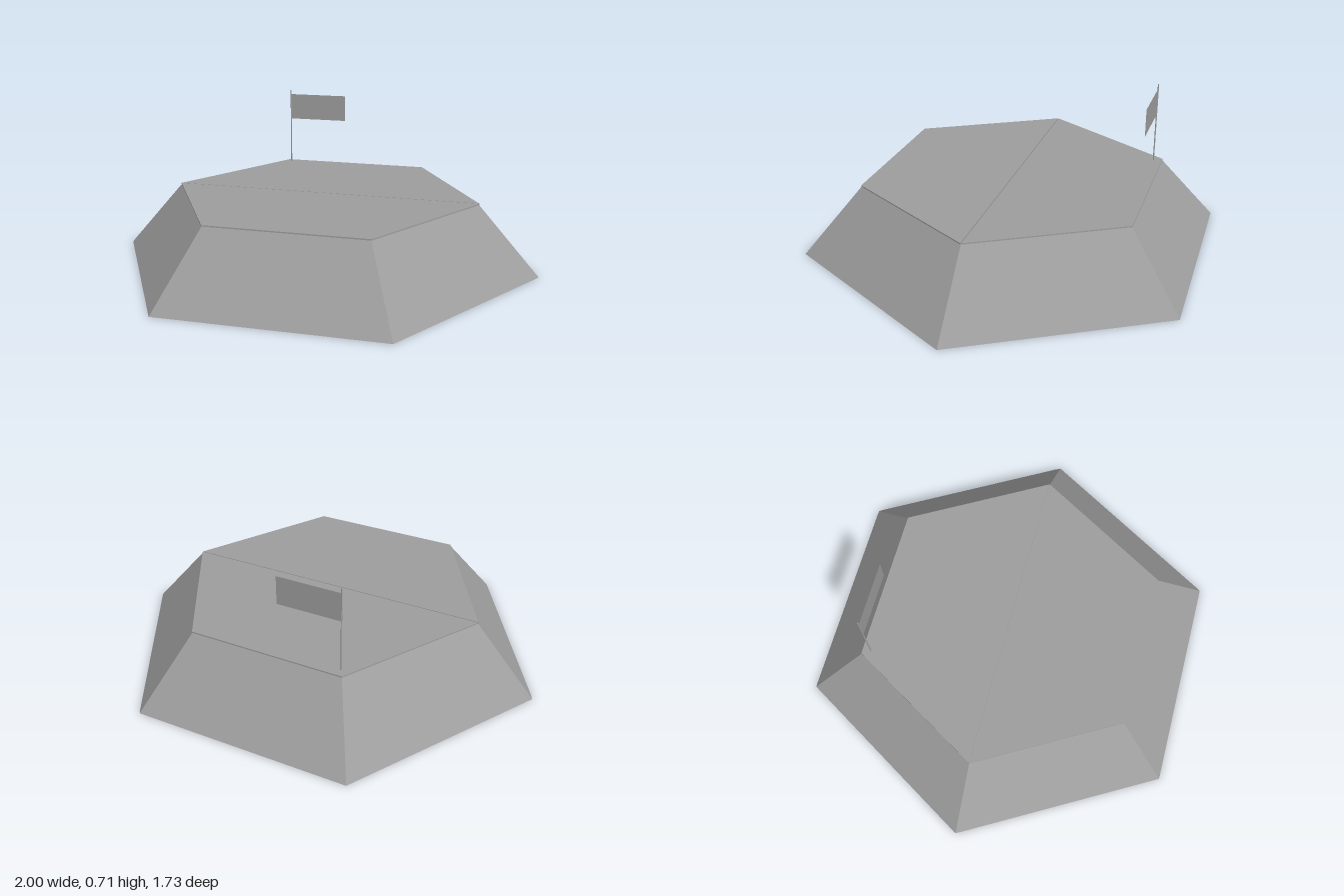
import * as THREE from 'three';

const HEIGHT = 0.325;
const DECK = 0.006; // deck thickness
const APOTHEM = Math.sqrt(3) / 2;
const SLOPE = 0.76; // inward run of the wall per unit of height
const SEAM = 0.002; // half the width of the seams between plates
const wallZ = (y) => APOTHEM - SLOPE * y;

// Counter-clockwise outline moved inwards by half a seam
function insetShape(points) {
  const v = points.map(([x, y]) => new THREE.Vector2(x, y));
  const normals = v.map((p, i) => {
    const d = v[(i + 1) % v.length].clone().sub(p).normalize();
    return new THREE.Vector2(-d.y, d.x);
  });
  return new THREE.Shape(v.map((p, i) => {
    const a = normals[(i + v.length - 1) % v.length], b = normals[i];
    return p.clone().add(a.clone().add(b).multiplyScalar(SEAM / (1 + a.dot(b))));
  }));
}

// Thin plate laid on the front (+z) wall, drawn as an outline in x and y
function plateGeometry(points) {
  const geometry = new THREE.ShapeGeometry(insetShape(points));
  const pos = geometry.attributes.position;
  for (let i = 0; i < pos.count; i++) pos.setZ(i, wallZ(pos.getY(i)) + 0.002);
  geometry.computeVertexNormals();
  return geometry;
}

export function createModel() {
  const model = new THREE.Group();
  model.name = 'hexagonalPlatform';
  const material = new THREE.MeshStandardMaterial({ color: 0x9d9d9d, flatShading: true });
  const thin = new THREE.MeshStandardMaterial({ color: 0x9d9d9d, side: THREE.DoubleSide });
  const add = (name, geometry, x = 0, y = 0, z = 0, mat = material) => {
    const mesh = new THREE.Mesh(geometry, mat);
    mesh.name = name;
    mesh.position.set(x, y, z);
    model.add(mesh);
    return mesh;
  };

  // Sloping hexagonal core with corners on the x axis
  const coreTop = HEIGHT - DECK;
  const coreRadius = wallZ(coreTop) / APOTHEM;
  add('base', new THREE.CylinderGeometry(coreRadius, 1, coreTop, 6, 1, false, Math.PI / 6), 0, coreTop / 2, 0);

  // Wall plates: a wide panel with mitred trim along its top and sides
  const corner = (side, y, margin) => [side * (wallZ(y) / Math.sqrt(3) - margin), y];
  const outer = [corner(-1, 0, 0), corner(1, 0, 0), corner(1, coreTop, 0), corner(-1, coreTop, 0)];
  const inner = [corner(-1, 0.05, 0.058), corner(1, 0.05, 0.058), corner(1, 0.275, 0.058), corner(-1, 0.275, 0.058)];
  const plates = {
    wallPanel: plateGeometry([outer[0], outer[1], inner[1], inner[2], inner[3], inner[0]]),
    rightTrim: plateGeometry([outer[1], outer[2], inner[2], inner[1]]),
    topTrim: plateGeometry([outer[2], outer[3], inner[3], inner[2]]),
    leftTrim: plateGeometry([outer[3], outer[0], inner[0], inner[3]]),
  };
  for (let i = 0; i < 6; i++) {
    for (const [name, geometry] of Object.entries(plates)) add(name, geometry).rotation.y = i * Math.PI / 3;
  }

  // Top deck in two halves meeting at a seam along the x axis
  const r = coreRadius + 0.004;
  const half = insetShape([[-r, 0], [r, 0], [r / 2, r * APOTHEM], [-r / 2, r * APOTHEM]]);
  const deck = new THREE.ExtrudeGeometry(half, { depth: DECK, bevelEnabled: false });
  deck.rotateX(-Math.PI / 2);
  for (const turn of [0, Math.PI]) add('topDeckHalf', deck, 0, coreTop, 0).rotation.y = turn;

  // Flagpole and flag near the back right corner
  add('flagpole', new THREE.CylinderGeometry(0.003, 0.003, 0.39, 8), -0.338, 0.515, -0.585);
  add('flag', new THREE.PlaneGeometry(0.29, 0.13), -0.19, 0.623, -0.585, thin);

  return model;
}
